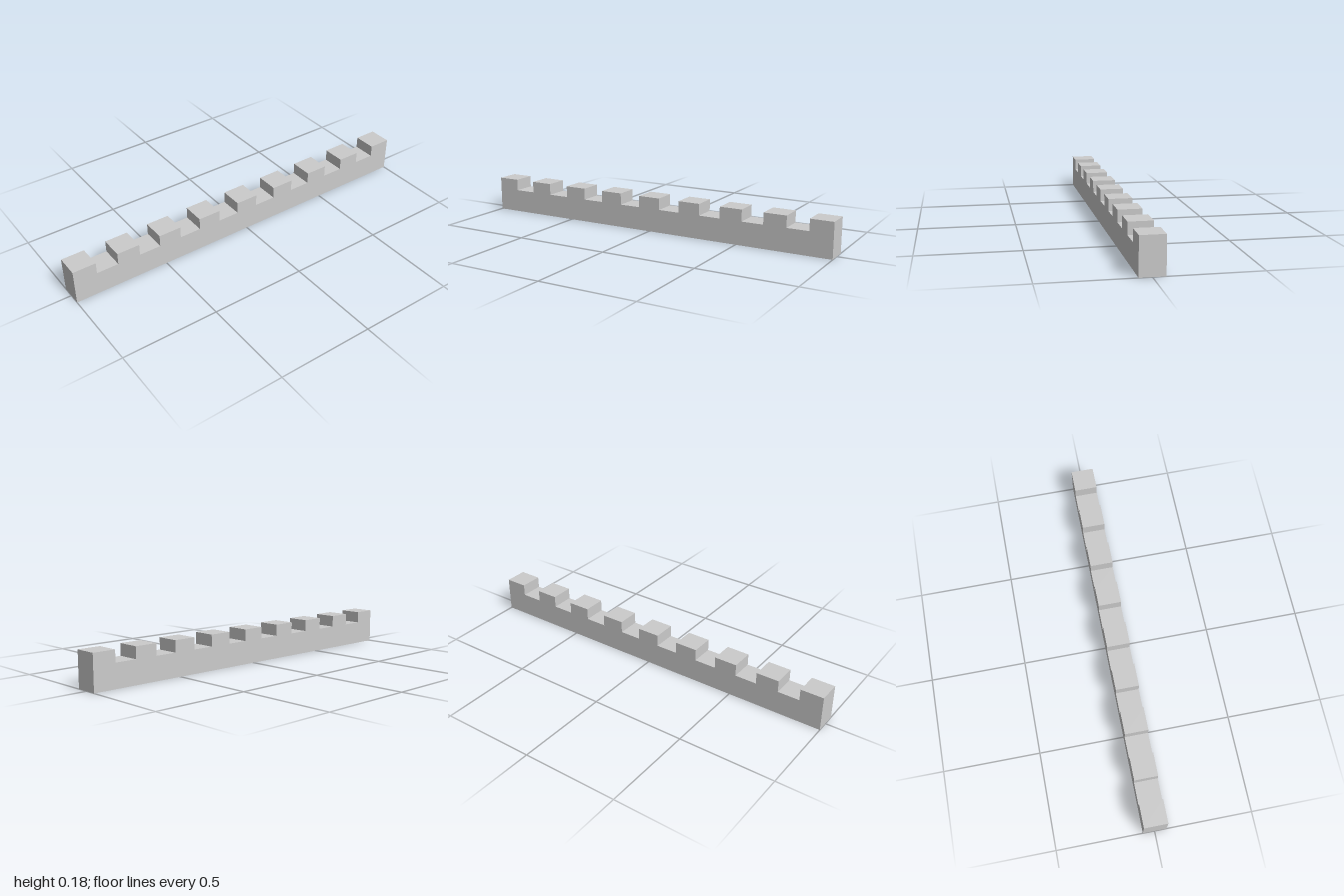
import * as THREE from 'three';

const LENGTH = 2, WIDTH = 0.12, WALL_HEIGHT = 0.123, TOTAL_HEIGHT = 0.184;
const MERLONS = 9, MERLON_LENGTH = 0.12;

export function createModel() {
  const group = new THREE.Group();
  group.name = 'battlement';

  // Side outline: straight base, evenly spaced merlons along the top
  const pitch = (LENGTH - MERLON_LENGTH) / (MERLONS - 1);
  const outline = new THREE.Shape();
  outline.moveTo(-LENGTH / 2, 0);
  outline.lineTo(LENGTH / 2, 0);
  for (let i = 0; i < MERLONS; i++) {
    const start = LENGTH / 2 - i * pitch;
    const end = start - MERLON_LENGTH;
    if (i > 0) outline.lineTo(start, WALL_HEIGHT);
    outline.lineTo(start, TOTAL_HEIGHT);
    outline.lineTo(end, TOTAL_HEIGHT);
    if (i < MERLONS - 1) outline.lineTo(end, WALL_HEIGHT);
  }
  outline.closePath();

  // Extrude across the wall thickness, then turn the length onto z
  const geometry = new THREE.ExtrudeGeometry(outline, { depth: WIDTH, bevelEnabled: false });
  geometry.translate(0, 0, -WIDTH / 2);
  geometry.rotateY(-Math.PI / 2);

  const wall = new THREE.Mesh(
    geometry,
    new THREE.MeshStandardMaterial({ color: 0xcccccc, flatShading: true })
  );
  wall.name = 'crenellatedWall';
  group.add(wall);
  return group;
}
